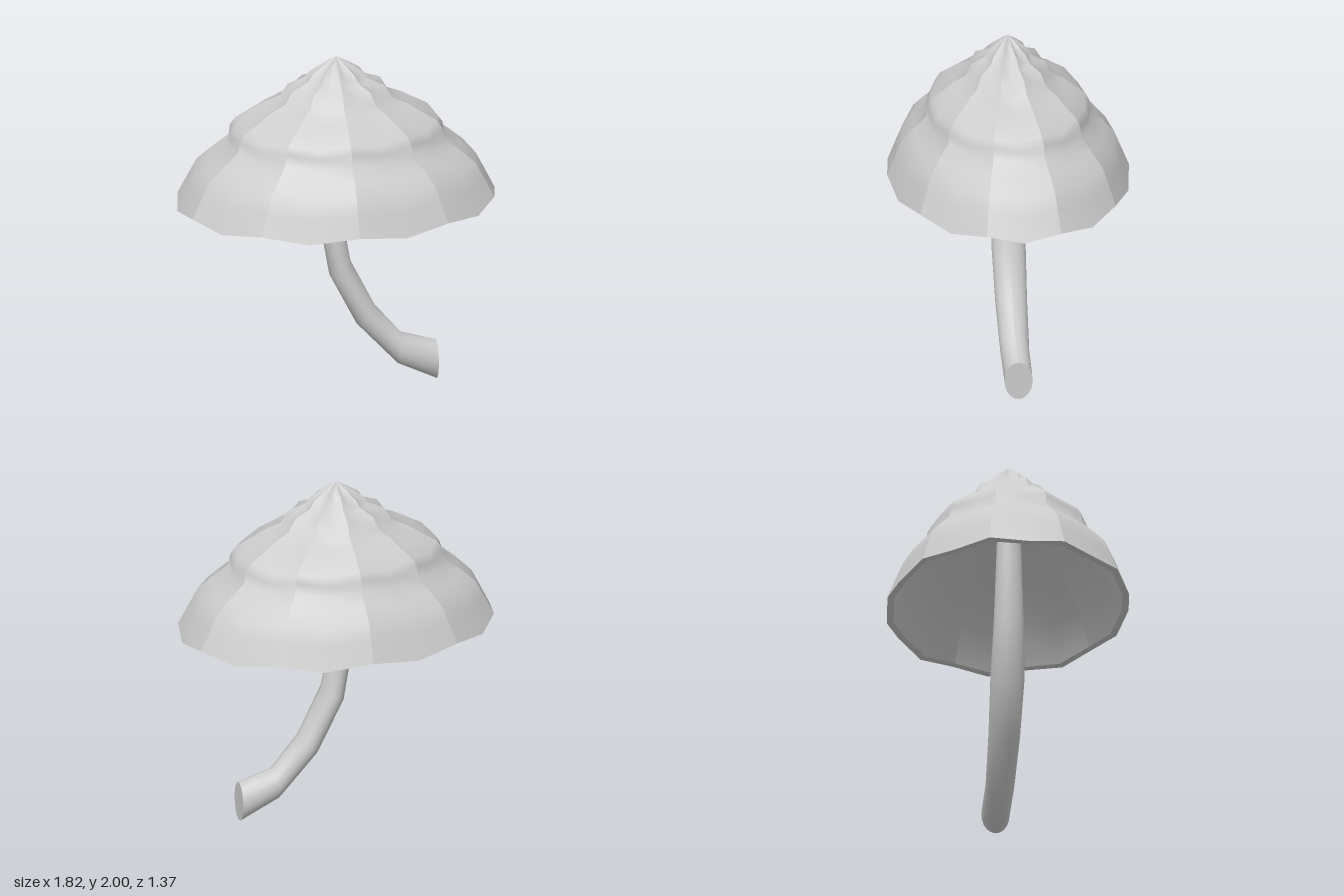
import * as THREE from 'three';

const material = new THREE.MeshStandardMaterial({ color: 0xcccccc, side: THREE.DoubleSide });
const RX = 0.912, RZ = 0.685, PANELS = 10;

// Smooth surface through rows of points (all rows the same length)
function surface(rows) {
  const n = rows[0].length, index = [];
  for (let i = 0; i < rows.length - 1; i++)
    for (let j = 0; j < n - 1; j++) {
      const a = i * n + j, b = a + n;
      index.push(a, a + 1, b, a + 1, b + 1, b);
    }
  const g = new THREE.BufferGeometry();
  g.setAttribute('position', new THREE.Float32BufferAttribute(rows.flat(2), 3));
  g.setIndex(index);
  g.computeVertexNormals();
  return g;
}

// Cap profiles: [relative radius, height, drop at the middle of a panel]
const outer = [
  [0, 2, 0], [0.08, 1.96, 0.02], [0.165, 1.91, 0.025], [0.195, 1.87, 0.025],
  [0.305, 1.83, 0.025], [0.35, 1.76, 0.02], [0.45, 1.72, 0.02], [0.54, 1.67, 0.02],
  [0.635, 1.62, 0.02], [0.67, 1.575, 0.02], [0.68, 1.515, 0.015], [0.785, 1.44, 0.015],
  [0.88, 1.365, 0.015], [0.93, 1.28, 0.02], [1, 1.16, 0.03],
];
const rim = [[1, 1.16, 0.03], [0.945, 1.158, 0.025]];
const inner = [[0.945, 1.158, 0.025], [0.83, 1.34, 0.02], [0.6, 1.52, 0.015], [0.3, 1.71, 0.01], [0, 1.88, 0]];

// One pleat of the cap: two segments wide, with creases along both edges
function panel(profile, p) {
  return surface(profile.map(([r, y, drop]) => [-1, 0, 1].map((s) => {
    const a = ((2 * p + s) * Math.PI) / PANELS;
    return [RX * r * Math.cos(a), y - (s === 0 ? drop : 0), RZ * r * Math.sin(a)];
  })));
}

// Stem cross-sections: [left x, left y, right x, right y, half depth]
const sections = [
  [-0.10, 1.75, 0.01, 1.75, 0.06], [-0.105, 1.4, 0.015, 1.42, 0.073],
  [-0.10, 1.03, 0.025, 1.07, 0.085], [-0.038, 0.675, 0.083, 0.75, 0.097],
  [0.118, 0.365, 0.22, 0.475, 0.09], [0.35, 0.11, 0.375, 0.29, 0.082],
  [0.575, 0, 0.575, 0.228, 0.08],
];

function ring([x0, y0, x1, y1, d], scale = 1, sides = 20) {
  return Array.from({ length: sides + 1 }, (_, i) => {
    const a = (i / sides) * Math.PI * 2, c = (Math.cos(a) * scale) / 2;
    return [(x0 + x1) / 2 + c * (x1 - x0), (y0 + y1) / 2 + c * (y1 - y0), d * scale * Math.sin(a)];
  });
}

export function createModel() {
  const model = new THREE.Group();
  const add = (parent, name, geometry) => {
    const mesh = new THREE.Mesh(geometry, material);
    mesh.name = name;
    parent.add(mesh);
  };

  // Cap: pleated outside, rim band and hollow underside
  const cap = new THREE.Group();
  cap.name = 'cap';
  for (let p = 0; p < PANELS; p++) {
    add(cap, 'capPanel', panel(outer, p));
    add(cap, 'capRim', panel(rim, p));
    add(cap, 'capUnderside', panel(inner, p));
  }
  model.add(cap);

  // Bent stem with flat ends
  const stem = new THREE.Group();
  stem.name = 'stem';
  const first = sections[0], last = sections[sections.length - 1];
  add(stem, 'stemTop', surface([ring(first, 0), ring(first)]));
  add(stem, 'stemTube', surface(sections.map((s) => ring(s))));
  add(stem, 'stemFoot', surface([ring(last), ring(last, 0)]));
  model.add(stem);
  return model;
}
